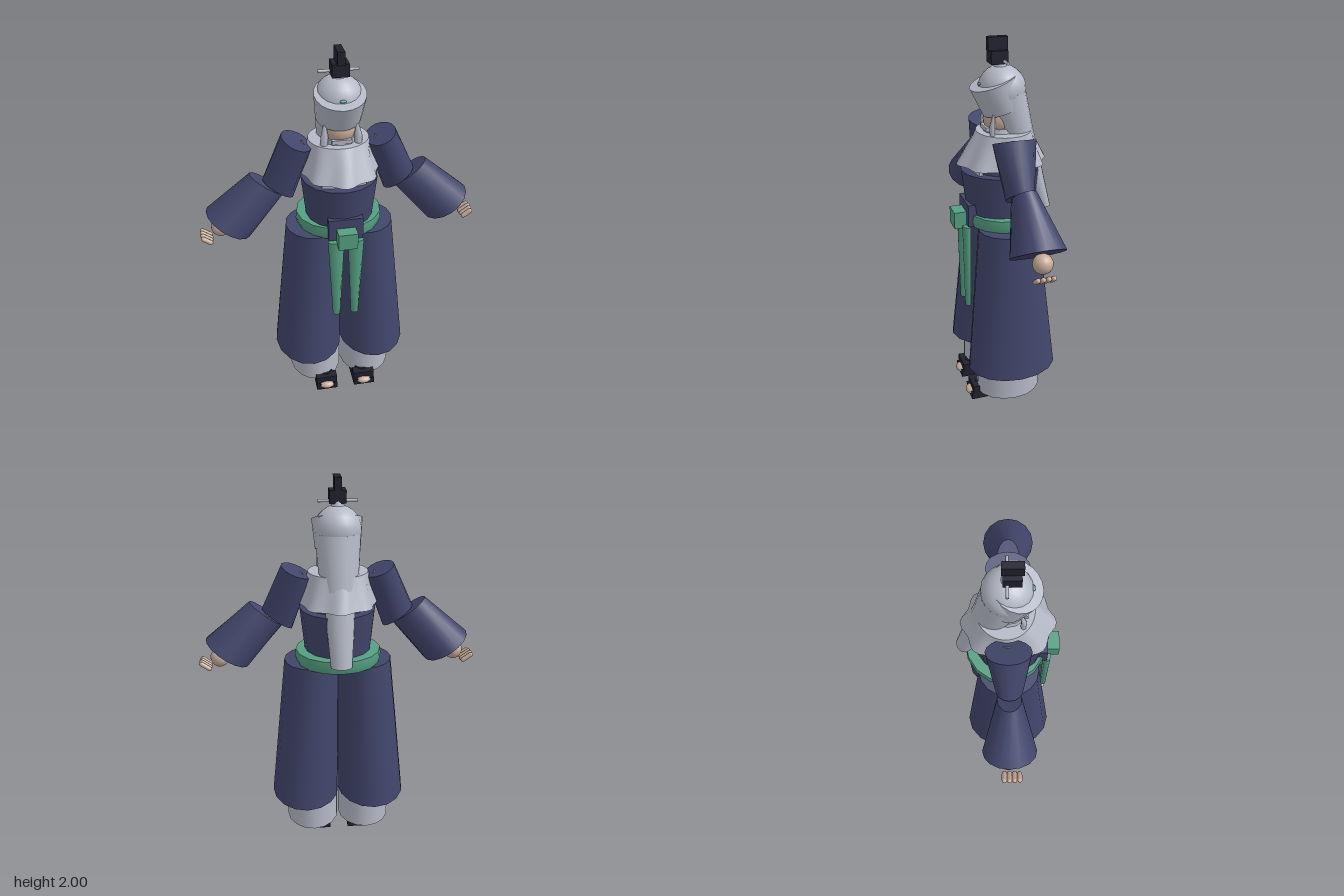
import * as THREE from 'three';

const mat = (name, color, side = THREE.FrontSide) => {
  const m = new THREE.MeshStandardMaterial({ color, side });
  m.name = name;
  return m;
};

// Closed skin through elliptical rings: c = centre, u and v = half axes, wave = eightfold ripple.
function loft(rings, n = 16) {
  const pos = [], idx = [];
  const point = (r, i) => {
    const t = (i / n) * Math.PI * 2, k = 1 + (r.wave || 0) * (Math.cos(8 * t) - 1) / 2;
    return r.c.map((c, a) => c + k * (r.u[a] * Math.cos(t) + r.v[a] * Math.sin(t)));
  };
  const addRing = (r) => {
    const start = pos.length / 3;
    for (let i = 0; i < n; i++) pos.push(...point(r, i));
    return start;
  };
  const starts = rings.map(addRing);
  for (let s = 0; s + 1 < starts.length; s++) {
    for (let i = 0; i < n; i++) {
      const j = (i + 1) % n, a = starts[s], b = starts[s + 1];
      idx.push(a + i, b + i, a + j, a + j, b + i, b + j);
    }
  }
  [rings[0], rings[rings.length - 1]].forEach((r, end) => {
    const s = addRing(r), mid = pos.length / 3;
    pos.push(...r.c);
    for (let i = 0; i < n; i++) {
      const j = (i + 1) % n;
      idx.push(mid, s + (end ? j : i), s + (end ? i : j));
    }
  });
  // Turn the faces outward whatever the ring order
  const P = (i) => new THREE.Vector3().fromArray(pos, i * 3);
  let volume = 0;
  for (let i = 0; i < idx.length; i += 3) {
    volume += P(idx[i]).dot(P(idx[i + 1]).cross(P(idx[i + 2])));
  }
  if (volume < 0) idx.reverse();
  const g = new THREE.BufferGeometry();
  g.setAttribute('position', new THREE.Float32BufferAttribute(pos, 3));
  g.setIndex(idx);
  g.computeVertexNormals();
  return g;
}

// Level ring: centre x, y, z, then radii along x and z
const ring = (x, y, z, rx, rz, wave = 0) => ({ c: [x, y, z], u: [rx, 0, 0], v: [0, 0, rz], wave });
// Tilted ring given by two opposite points in the xy plane and a depth
const tilted = (s, [ax, ay], [bx, by], rz, z = 0) => ({
  c: [s * (ax + bx) / 2, (ay + by) / 2, z],
  u: [s * (ax - bx) / 2, (ay - by) / 2, 0], v: [0, 0, rz],
});

export function createModel() {
  const navy = mat('navy cloth', 0x41466b);
  const grey = mat('pale grey cloth', 0xb5b9c6);
  const green = mat('green sash', 0x559f82);
  const dark = mat('dark leather', 0x20212f);
  const skin = mat('skin', 0xc6ab98);

  const model = new THREE.Group();
  model.name = 'robedFigure';
  const add = (name, geo, m, p = [0, 0, 0], r = [0, 0, 0], s = [1, 1, 1]) => {
    const mesh = new THREE.Mesh(geo, m);
    mesh.name = name;
    mesh.position.set(...p);
    mesh.rotation.set(...r);
    mesh.scale.set(...s);
    model.add(mesh);
    return mesh;
  };
  const box = (w, h, d) => new THREE.BoxGeometry(w, h, d);
  const ball = new THREE.SphereGeometry(1, 20, 14);

  // Torso, chest wrap and waist panel
  add('torso', loft([ring(0, 1.04, 0.01, 0.17, 0.175), ring(0, 1.33, 0.015, 0.2, 0.205)]), navy);
  add('innerChest', loft([ring(0, 1.3, 0.01, 0.165, 0.15), ring(0, 1.45, 0.01, 0.15, 0.12)]), navy);
  add('waistPanel', box(0.18, 0.12, 0.05), navy, [0, 1.105, 0.185]);

  // Sash with knot
  add('sash', loft([ring(0, 1.037, -0.01, 0.22, 0.205), ring(0, 1.07, -0.01, 0.23, 0.215),
    ring(0, 1.105, -0.01, 0.225, 0.21)]), green);
  add('sashKnot', box(0.1, 0.09, 0.075), green, [0, 1.07, 0.237]);

  // Shoulder cape
  add('cape', loft([ring(0, 1.365, 0.005, 0.215, 0.24, 0.1), ring(0, 1.45, 0, 0.18, 0.19, 0.08),
    ring(0, 1.53, -0.008, 0.155, 0.142)], 48), grey);

  // Head, hood and the long tail of cloth behind
  add('face', ball, skin, [0, 1.59, 0.01], [0, 0, 0], [0.085, 0.085, 0.088]);
  add('neckWrap', loft([ring(0, 1.5, 0, 0.1, 0.1), ring(0, 1.553, 0.005, 0.085, 0.092)]), grey);
  add('hoodDome', ball, grey, [0, 1.742, 0], [0, 0, 0], [0.122, 0.12, 0.122]);
  const hx = 0.94, hz = 0.34;
  add('hoodBrow', loft([
    { c: [0, 1.787, 0.047], u: [0.13, 0, 0], v: [0, -hz * 0.125, hx * 0.125] },
    { c: [0, 1.645, -0.004], u: [0.116, 0, 0], v: [0, -hz * 0.108, hx * 0.108] },
  ], 20), grey);
  add('hoodTail', loft([ring(0, 1.73, -0.008, 0.118, 0.113), ring(0, 1.53, -0.062, 0.103, 0.1),
    ring(0, 1.37, -0.135, 0.078, 0.068), ring(0, 1.085, -0.225, 0.055, 0.045)], 20), grey);
  add('moustache', box(0.1, 0.022, 0.02), grey, [0, 1.548, 0.09]);
  add('browJewel', ball, green, [0, 1.772, 0.118], [0.35, 0, 0], [0.016, 0.007, 0.009]);

  // Topknot with its cap and pin
  add('topknotBase', new THREE.CylinderGeometry(0.025, 0.04, 0.04, 12), grey, [0, 1.862, 0.005]);
  add('topknotCap', box(0.085, 0.065, 0.085), dark, [0, 1.903, 0.023]);
  add('topknotCrest', box(0.036, 0.068, 0.1), dark, [0, 1.966, 0.025]);
  add('hairPin', new THREE.CylinderGeometry(0.008, 0.008, 0.2, 8), grey, [0, 1.884, 0], [0, 0, Math.PI / 2]);

  for (const [s, side] of [[1, 'left'], [-1, 'right']]) {
    const name = (part) => side + part;

    // Wide split skirt over pale trousers
    add(name('SkirtLeg'), loft([ring(s * 0.185, 0.23, 0.003, 0.187, 0.243),
      ring(s * 0.14, 1.04, 0.008, 0.147, 0.16)]), navy);
    add(name('TrouserLeg'), loft([ring(s * 0.147, 0.052, 0.013, 0.145, 0.178),
      ring(s * 0.147, 0.4, 0.013, 0.145, 0.17)]), grey);

    // Sandal and toes
    add(name('SandalSole'), box(0.12, 0.04, 0.32), dark, [s * 0.11, 0.02, 0.07]);
    add(name('SandalUpper'), loft([ring(s * 0.11, 0.03, 0.08, 0.062, 0.15),
      ring(s * 0.11, 0.085, 0.075, 0.055, 0.12)]), dark);
    add(name('SandalStrap'), box(0.12, 0.075, 0.05), dark, [s * 0.11, 0.045, 0.195]);
    add(name('Toes'), ball, skin, [s * 0.11, 0.03, 0.22], [0, 0, 0], [0.042, 0.021, 0.03]);

    // Hanging sash end
    add(name('SashEnd'), loft([ring(s * 0.052, 1.04, 0.212, 0.043, 0.022),
      ring(s * 0.05, 0.56, 0.21, 0.021, 0.017)], 8), green);

    // Collar lapel and strand beside the face
    add(name('Lapel'), box(0.065, 0.09, 0.02), grey, [s * 0.08, 1.345, 0.152], [0, s * 0.2, 0]);
    add(name('SideStrand'), loft([ring(s * 0.088, 1.5, 0.075, 0.018, 0.014),
      ring(s * 0.085, 1.57, 0.078, 0.02, 0.014), ring(s * 0.08, 1.64, 0.065, 0.006, 0.006)], 8), grey);

    // Sleeves
    add(name('UpperSleeve'), loft([tilted(s, [0.29, 1.56], [0.14, 1.5], 0.112, 0.005),
      tilted(s, [0.395, 1.33], [0.24, 1.22], 0.07, 0.008)]), navy);
    add(name('LowerSleeve'), loft([tilted(s, [0.46, 1.37], [0.29, 1.24], 0.06, 0.008),
      tilted(s, [0.695, 1.17], [0.475, 1.02], 0.138, 0.008)]), navy);

    // Arm, palm and fingers
    const arm = new THREE.CatmullRomCurve3([[0.17, 1.51], [0.36, 1.3], [0.62, 1.07]]
      .map(([x, y]) => new THREE.Vector3(s * x, y, 0)));
    add(name('Arm'), new THREE.TubeGeometry(arm, 12, 0.025, 10), skin);
    add(name('Palm'), ball, skin, [s * 0.627, 1.067, 0], [0, 0, 0], [0.05, 0.05, 0.05]);
    for (let i = 0; i < 4; i++) {
      add(name('Finger') + (i + 1), new THREE.CapsuleGeometry(0.013, 0.052 - 0.004 * Math.abs(i - 1), 4, 8), skin,
        [s * 0.704, 1.024, -0.02 + i * 0.026], [0, 0, -s * 0.95]);
    }
  }
  return model;
}
